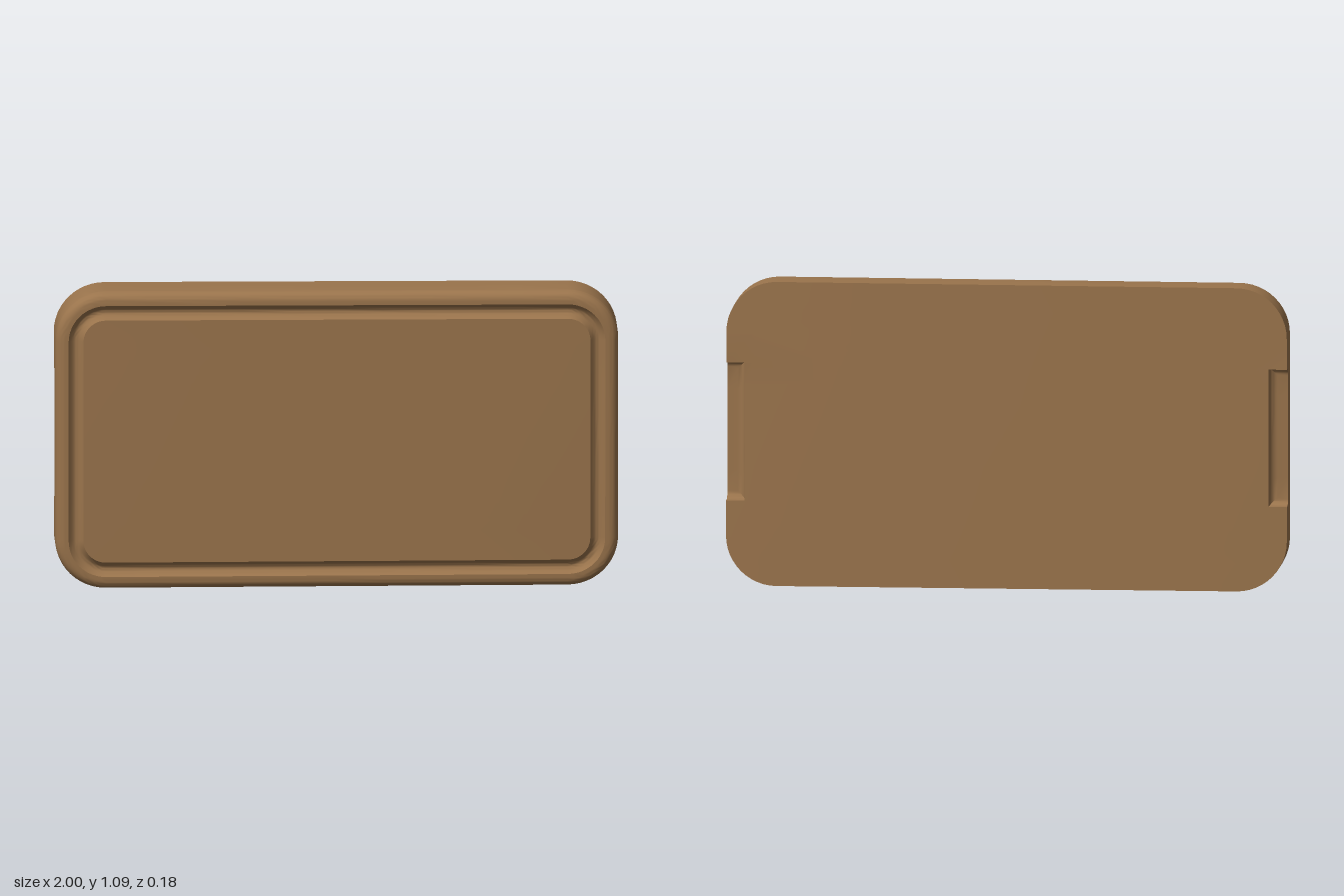
import * as THREE from 'three';
import { toCreasedNormals } from 'three/addons/utils/BufferGeometryUtils.js';

const W = 1, H = 0.545, R = 0.18, MID = 0.548;   // half width, half height, corner radius, centre height
const FRONT = 0.069, BACK = -0.086;
const NOTCH = { depth: 0.065, half: 0.247, lift: 0.007, top: -0.035, round: 0.028 };

// Rounded rectangle, anticlockwise from the front, with a hand notch in each short side.
function ring({ inset = 0, z, scale = 1, depth = 0, half = NOTCH.half - NOTCH.round }) {
  const points = [];
  for (const side of [1, -1]) {
    const add = (x, y) => points.push([side * x * scale, side * y * scale, z]);
    const cx = W - R, cy = H - R, r = R - inset;
    const lift = side * NOTCH.lift;
    // lower corner
    for (let i = 0; i <= 12; i++) {
      const a = (i / 12 - 1) * Math.PI / 2;
      add(cx + r * Math.cos(a), -cy + r * Math.sin(a));
    }
    // notch: mouth, floor, mouth
    add(W - inset, lift - half);
    for (let i = 0; i <= 6; i++) add(W - inset - depth, lift + half * (i / 3 - 1));
    add(W - inset, lift + half);
    // upper corner
    for (let i = 0; i <= 12; i++) {
      const a = (i / 12) * Math.PI / 2;
      add(cx + r * Math.cos(a), cy + r * Math.sin(a));
    }
    // long edge
    for (let i = 1; i < 10; i++) add(cx * (1 - i / 5), H - inset);
  }
  return points;
}

// Joins successive rings into one skin, applying the slight warp of the wood.
function loft(rings) {
  const pos = [], index = [], n = rings[0].length;
  for (const points of rings) {
    for (const [x, y, z] of points) {
      const u = (x + 1) / 2, v = (y + H) / (2 * H);
      pos.push(x, y + MID - 0.003 * x, z + 0.024 * u * v - 0.003 * v);
    }
  }
  for (let k = 0; k < rings.length - 1; k++) {
    for (let i = 0; i < n; i++) {
      const j = (i + 1) % n, a = k * n, b = a + n;
      index.push(a + i, b + i, b + j, a + i, b + j, a + j);
    }
  }
  const g = new THREE.BufferGeometry();
  g.setAttribute('position', new THREE.Float32BufferAttribute(pos, 3));
  g.setIndex(index);
  return toCreasedNormals(g, 0.7);
}

export function createModel() {
  const wood = new THREE.MeshStandardMaterial({ color: 0x9a744c });
  wood.name = 'brown wood';
  const rings = [];

  // flat front panel
  for (const scale of [0, 0.25, 0.5, 0.75]) rings.push(ring({ inset: 0.1, z: FRONT, scale }));

  // juice groove
  for (let i = 0; i <= 10; i++) {
    const t = i / 10;
    rings.push(ring({ inset: 0.1 - 0.053 * t, z: FRONT - 0.02 * Math.sin(Math.PI * t) }));
  }

  // rounded front edge
  const e = 0.034;
  for (let i = 0; i <= 8; i++) {
    const a = (i / 8) * Math.PI / 2;
    rings.push(ring({ inset: e * (1 - Math.sin(a)), z: FRONT - e * (1 - Math.cos(a)) }));
  }

  // side wall, then the notches with rounded inner edges
  const { depth, half, top, round } = NOTCH;
  rings.push(ring({ z: top }));
  for (let i = 0; i <= 6; i++) {
    const a = (i / 6) * Math.PI / 2, s = round * (1 - Math.sin(a));
    rings.push(ring({ z: top - round * (1 - Math.cos(a)), depth: depth - s, half: half - s }));
  }
  rings.push(ring({ z: BACK, depth, half }));

  // flat back
  for (const scale of [1, 0.75, 0.5, 0.25, 0]) rings.push(ring({ inset: 0.1, z: BACK, scale, half }));

  const board = new THREE.Mesh(loft(rings), wood);
  board.name = 'cuttingBoard';
  const model = new THREE.Group();
  model.name = 'cuttingBoardModel';
  model.add(board);
  return model;
}
